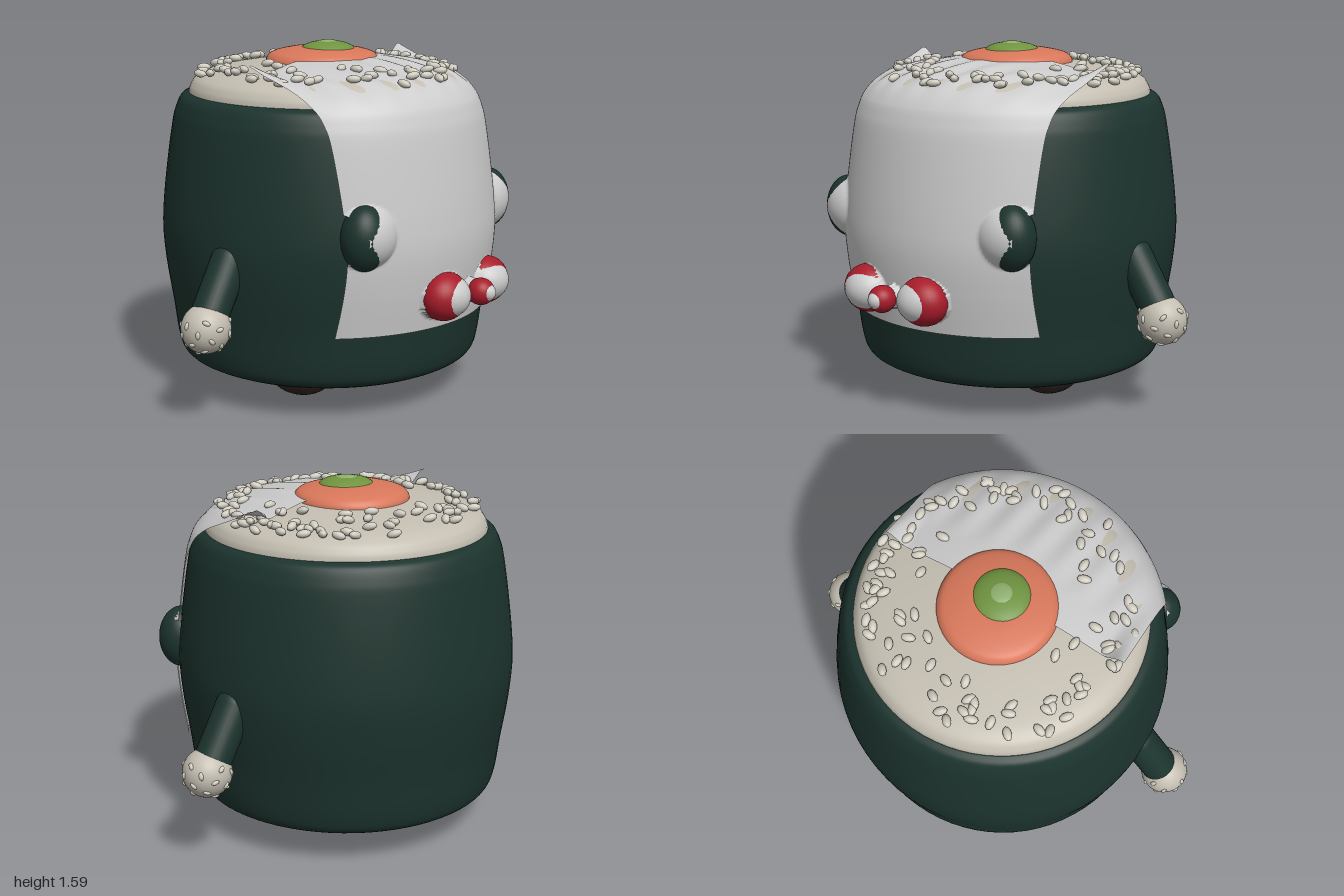
import * as THREE from 'three';

const CZ = -0.07; // z of the roll's axis

const mat = (color, double) => new THREE.MeshStandardMaterial({
  color, roughness: 0.8, side: double ? THREE.DoubleSide : THREE.FrontSide,
});
const M = {
  wrap: mat(0x1c332d, true), rice: mat(0xc4beb1, true), grain: mat(0xd0ccc0), salmon: mat(0xd8775a, true),
  avocado: mat(0x6f9440), core: mat(0x8fb070), red: mat(0xa81c2a), foot: mat(0x30231f), sheet: mat(0xcccccc, true),
};

const smooth = (pts, n = 60) =>
  new THREE.SplineCurve(pts.map(p => new THREE.Vector2(...p))).getPoints(n);

// Piecewise lookup on a sampled curve: the value of axis b where axis a equals k
function lookup(pts, a, b, k) {
  for (let i = pts.length - 1; i > 0; i--) {
    const p = pts[i - 1], q = pts[i];
    if ((p[a] - k) * (q[a] - k) <= 0 && p[a] !== q[a])
      return p[b] + (q[b] - p[b]) * (k - p[a]) / (q[a] - p[a]);
  }
  return pts[pts.length - 1][b];
}

function seeded(seed) {
  return () => (seed = (seed * 16807) % 2147483647) / 2147483647;
}

function add(parent, name, geo, material, x = 0, y = 0, z = 0) {
  const m = new THREE.Mesh(geo, material);
  m.name = name;
  m.position.set(x, y, z);
  parent.add(m);
  return m;
}

function ellipsoid(parent, name, material, c, r, w = 32, h = 20) {
  const m = add(parent, name, new THREE.SphereGeometry(1, w, h), material, ...c);
  m.scale.set(...r);
  return m;
}

const side = smooth([[0.62, 0.14], [0.68, 0.175], [0.705, 0.25], [0.725, 0.4], [0.752, 0.58], [0.765, 0.74],
  [0.758, 0.88], [0.735, 1.07], [0.71, 1.23], [0.695, 1.29], [0.67, 1.345], [0.635, 1.365]], 66);
const riceTop = smooth([[0.635, 1.355], [0.625, 1.395], [0.59, 1.435], [0.5, 1.465], [0.25, 1.5], [0, 1.51]]);
const skin = smooth([[0.735, 0.4], [0.763, 0.58], [0.777, 0.74], [0.77, 0.88], [0.747, 1.07], [0.723, 1.23],
  [0.705, 1.3], [0.675, 1.365], [0.61, 1.425], [0.5, 1.47], [0.25, 1.515], [0, 1.525]], 120);

// Bulges pressed into the face sheet: centre, then radii
const bulges = [[0, 0.54, 0.765, 0.05, 0.048, 0.066]];
for (const s of [-1, 1]) {
  bulges.push([s * 0.47, 0.84, 0.48, 0.15, 0.14, 0.12]);
  bulges.push([s * 0.165, 0.545, 0.675, 0.115, 0.1, 0.115]);
}

// Face sheet: a plane draped up the front of the roll and back over the top
function faceSheet() {
  const geo = new THREE.PlaneGeometry(1.15, 1, 110, 150);
  const p = geo.attributes.position;
  const split = 0.68, yJoin = 1.355, rJoin = lookup(skin, 'y', 'x', yJoin);
  for (let i = 0; i < p.count; i++) {
    const x = p.getX(i), t = p.getY(i) + 0.5;
    let y, z;
    if (t <= split) {
      y = 0.4 + (yJoin - 0.4) * t / split;
      const r = lookup(skin, 'y', 'x', y);
      z = CZ + Math.sqrt(r * r - x * x);
      for (const [bx, by, bz, rx, ry, rz] of bulges) {
        const d = ((x - bx) / rx) ** 2 + ((y - by) / ry) ** 2;
        if (d < 1) z = Math.max(z, bz + rz * Math.sqrt(1 - d));
      }
    } else {
      const k = (t - split) / (1 - split);
      const d = Math.sqrt(rJoin * rJoin - x * x) * (1 - k);
      z = CZ + 0.01 * k + d;
      y = lookup(skin, 'x', 'y', Math.hypot(x, d));
      // shallow creases and upturned back corners
      y += 0.006 * Math.sin(x * 42 + z * 5) * Math.sin(Math.PI * Math.min(1, k * 1.3));
      y += 0.08 * THREE.MathUtils.smoothstep(Math.abs(x), 0.47, 0.575) * k * k;
    }
    p.setXYZ(i, x, y, z);
  }
  geo.computeVertexNormals();
  return geo;
}

export function createModel() {
  const root = new THREE.Group();
  root.name = 'riceRollFigure';
  const rnd = seeded(77);
  const V2 = (x, y) => new THREE.Vector2(x, y);

  // Roll: dark wrapper, domed rice end and filling
  add(root, 'wrapper', new THREE.LatheGeometry([V2(0, 0.14), V2(0.59, 0.14), ...side, V2(0, 1.365)], 72), M.wrap, 0, 0, CZ);
  add(root, 'riceTop', new THREE.LatheGeometry(riceTop, 72), M.rice, 0, 0, CZ);
  const salmon = smooth([[0.26, 1.49], [0.252, 1.515], [0.22, 1.538], [0.12, 1.558], [0, 1.562]], 24);
  add(root, 'salmonFilling', new THREE.LatheGeometry(salmon, 48), M.salmon, 0, 0, -0.1);
  ellipsoid(root, 'avocadoFilling', M.avocado, [0, 1.545, CZ], [0.125, 0.042, 0.125]);
  ellipsoid(root, 'avocadoCentre', M.core, [0, 1.57, CZ], [0.06, 0.021, 0.06]);

  // Loose grains on the rice
  const grains = new THREE.Group();
  grains.name = 'riceGrains';
  root.add(grains);
  const grainGeo = new THREE.SphereGeometry(1, 10, 7);
  for (let i = 0; i < 105; i++) {
    const a = rnd() * Math.PI * 2, r = 0.31 + 0.28 * Math.sqrt(rnd());
    const g = add(grains, 'grain', grainGeo, M.grain,
      r * Math.cos(a), lookup(riceTop, 'x', 'y', r) + 0.016, CZ + r * Math.sin(a));
    g.scale.set(0.032, 0.017, 0.019);
    g.rotation.set(0, rnd() * Math.PI, (rnd() - 0.5) * 0.6);
  }

  add(root, 'faceSheet', faceSheet(), M.sheet);

  // Bow at the front
  ellipsoid(root, 'bowKnot', M.red, [0, 0.54, 0.76], [0.06, 0.06, 0.062]);

  for (const s of [-1, 1]) {
    ellipsoid(root, 'bowLobe', M.red, [s * 0.172, 0.545, 0.68], [0.118, 0.107, 0.1]);
    ellipsoid(root, 'eye', M.wrap, [s * 0.505, 0.84, 0.49], [0.108, 0.142, 0.1]);
    ellipsoid(root, 'foot', M.foot, [s * 0.305, 0.1, 0], [0.126, 0.1, 0.157]);

    // Arm slanting out to a rice-ball hand
    const from = new THREE.Vector3(s * 0.72, 0.7, -0.065), to = new THREE.Vector3(s * 0.865, 0.48, -0.065);
    const arm = add(root, 'arm', new THREE.CapsuleGeometry(0.083, from.distanceTo(to), 10, 28), M.wrap);
    arm.position.lerpVectors(from, to, 0.5);
    arm.quaternion.setFromUnitVectors(new THREE.Vector3(0, 1, 0), from.clone().sub(to).normalize());

    const hand = new THREE.Group();
    hand.name = 'hand';
    hand.position.set(s * 0.885, 0.445, -0.06);
    root.add(hand);
    ellipsoid(hand, 'riceBall', M.rice, [0, 0, 0], [0.108, 0.108, 0.108]);
    for (let i = 0; i < 26; i++) {
      const h = 0.55 - 1.5 * (i + 0.5) / 26, a = i * 2.4;
      const q = Math.sqrt(1 - h * h);
      const n = new THREE.Vector3(q * Math.cos(a), h, q * Math.sin(a));
      const g = add(hand, 'handGrain', grainGeo, M.grain);
      g.position.copy(n).multiplyScalar(0.107);
      g.quaternion.setFromUnitVectors(new THREE.Vector3(0, 0, 1), n);
      g.rotateZ(rnd() * Math.PI);
      g.scale.set(0.018, 0.01, 0.009);
    }
  }
  return root;
}
